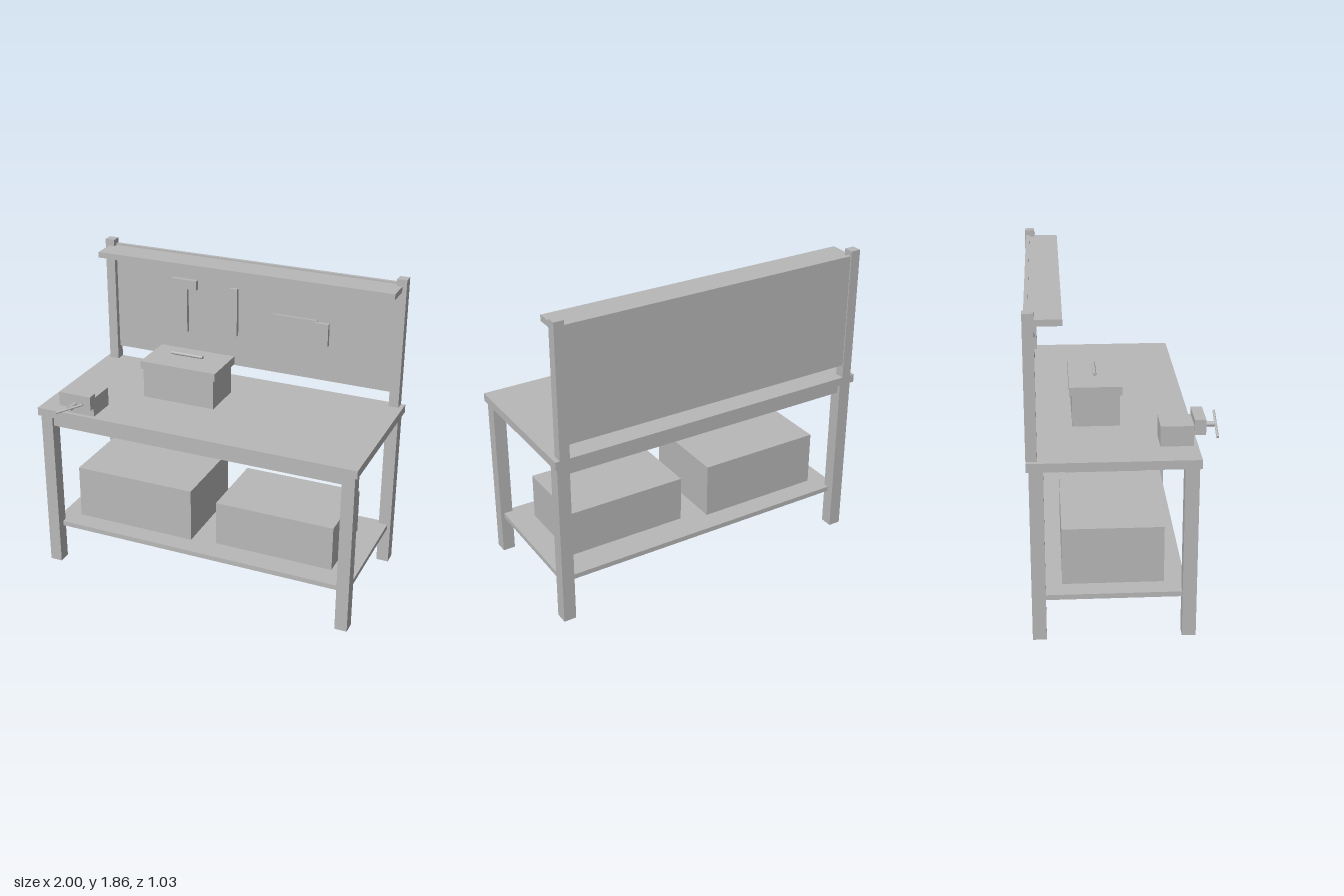
import * as THREE from 'three';

export function createModel() {
  const model = new THREE.Group();
  model.name = 'workbench';
  const grey = new THREE.MeshStandardMaterial({ color: 0xb8b8b8 });
  grey.name = 'plain grey';

  const group = (name) => {
    const g = new THREE.Group();
    g.name = name;
    model.add(g);
    return g;
  };
  // Box given by its limits on each axis
  const box = (name, [x0, x1], [y0, y1], [z0, z1], parent = model) => {
    const m = new THREE.Mesh(new THREE.BoxGeometry(x1 - x0, y1 - y0, z1 - z0), grey);
    m.name = name;
    m.position.set((x0 + x1) / 2, (y0 + y1) / 2, (z0 + z1) / 2);
    parent.add(m);
    return m;
  };
  // Round bar between two points
  const bar = (name, from, to, radius, parent) => {
    const a = new THREE.Vector3(...from), b = new THREE.Vector3(...to);
    const dir = b.clone().sub(a);
    const m = new THREE.Mesh(new THREE.CylinderGeometry(radius, radius, dir.length(), 16), grey);
    m.name = name;
    m.position.copy(a).add(b).multiplyScalar(0.5);
    m.quaternion.setFromUnitVectors(new THREE.Vector3(0, 1, 0), dir.normalize());
    parent.add(m);
  };

  // Table: top, legs, aprons and lower shelf
  const table = group('table');
  box('tableTop', [-1, 1], [1.01, 1.06], [-0.517, 0.408], table);
  for (const x of [[-0.985, -0.91], [0.91, 0.985]]) {
    box('frontLeg', x, [0, 1.01], [0.32, 0.397], table);
    box('backLeg', x, [0, 1.01], [-0.503, -0.426], table);
  }
  box('frontApron', [-0.91, 0.91], [0.945, 1.01], [0.34, 0.38], table);
  box('backApron', [-0.91, 0.91], [0.945, 1.01], [-0.483, -0.443], table);
  box('lowerShelf', [-0.965, 0.965], [0.235, 0.265], [-0.46, 0.35], table);

  // Storage boxes on the lower shelf
  box('tallStorageBox', [-0.845, -0.08], [0.265, 0.6], [-0.335, 0.23]);
  box('lowStorageBox', [0.075, 0.815], [0.265, 0.545], [-0.285, 0.205]);

  // Back board with posts and a narrow top shelf
  const board = group('backBoard');
  for (const x of [[-0.973, -0.913], [0.913, 0.973]]) {
    box('post', x, [1.06, 1.86], [-0.517, -0.457], board);
  }
  box('toolPanel', [-0.914, 0.914], [1.14, 1.83], [-0.51, -0.488], board);
  box('topShelf', [-0.947, 0.947], [1.785, 1.82], [-0.488, -0.313], board);

  // Tools hanging on the panel
  const tools = group('hangingTools');
  const thick = [-0.488, -0.463];
  box('hammerHead', [-0.52, -0.353], [1.605, 1.665], thick, tools);
  box('hammerHandle', [-0.455, -0.417], [1.32, 1.605], thick, tools);
  box('file', [-0.13, -0.08], [1.345, 1.65], thick, tools);
  box('sawBlade', [0.152, 0.435], [1.385, 1.525], [-0.488, -0.473], tools);
  box('sawHandle', [0.42, 0.512], [1.372, 1.514], thick, tools);

  // Toolbox on the table
  const toolbox = group('toolbox');
  box('toolboxBody', [-0.49, -0.03], [1.06, 1.245], [-0.26, 0.007], toolbox);
  box('toolboxLid', [-0.503, -0.015], [1.245, 1.295], [-0.275, 0.018], toolbox);
  bar('toolboxHandle', [-0.363, 1.32, -0.128], [-0.158, 1.32, -0.128], 0.01, toolbox);

  // Vise at the front edge
  const vise = group('vise');
  box('viseBody', [-0.807, -0.63], [1.06, 1.175], [0.203, 0.384], vise);
  box('viseJaw', [-0.82, -0.615], [1.127, 1.213], [0.384, 0.446], vise);
  bar('viseScrew', [-0.718, 1.15, 0.44], [-0.718, 1.15, 0.515], 0.015, vise);
  bar('viseHandle', [-0.808, 1.107, 0.51], [-0.628, 1.193, 0.51], 0.007, vise);

  return model;
}
